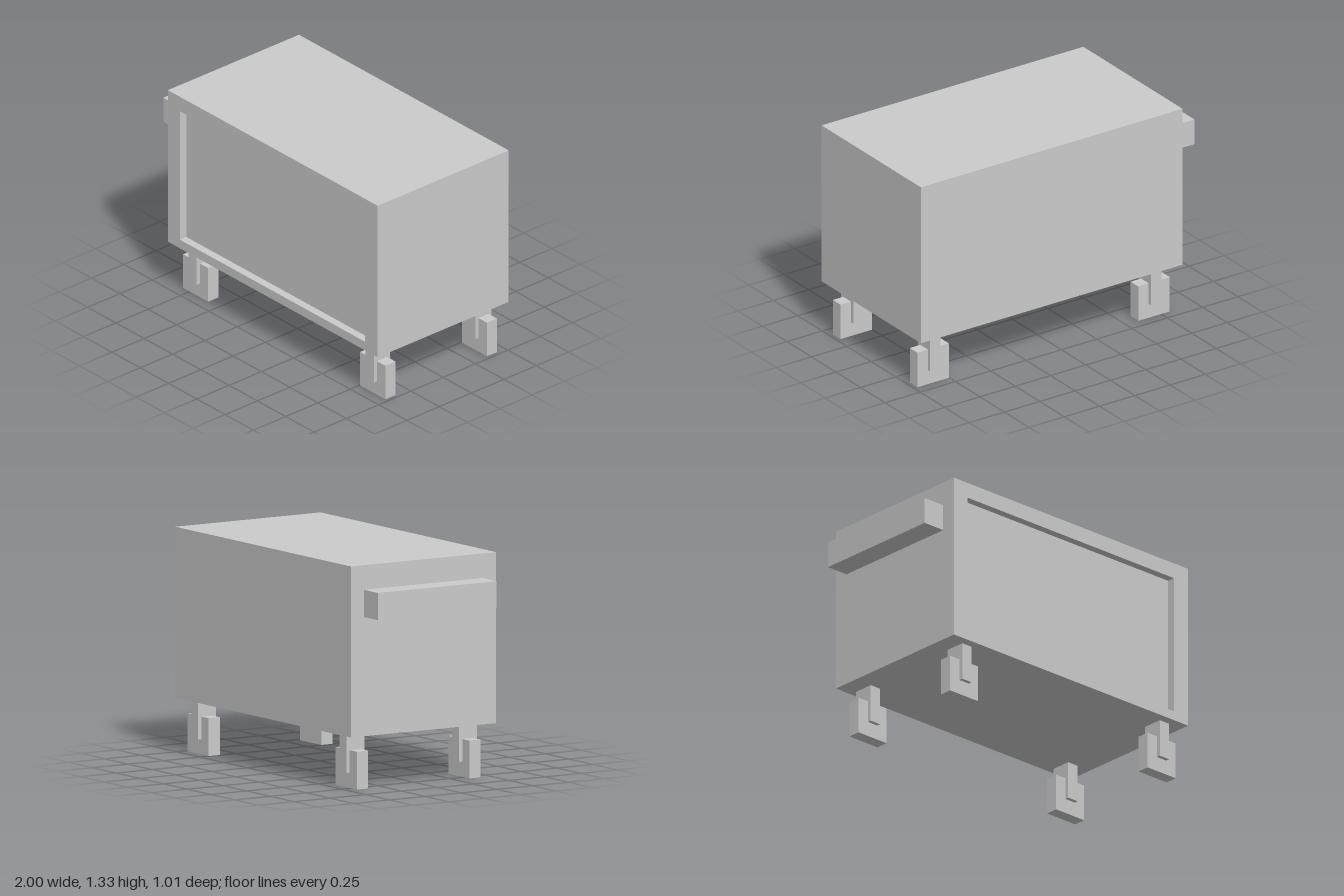
import * as THREE from 'three';

const material = new THREE.MeshStandardMaterial({ color: 0xcccccc, flatShading: true });

// Box given by its min and max along each axis
function box(name, [x0, x1], [y0, y1], [z0, z1]) {
  const mesh = new THREE.Mesh(new THREE.BoxGeometry(x1 - x0, y1 - y0, z1 - z0), material);
  mesh.position.set((x0 + x1) / 2, (y0 + y1) / 2, (z0 + z1) / 2);
  mesh.name = name;
  return mesh;
}

function rectangle(PathType, x0, x1, y0, y1) {
  return new PathType([[x0, y0], [x1, y0], [x1, y1], [x0, y1]].map(([x, y]) => new THREE.Vector2(x, y)));
}

// Square caster block held by a straight fork
function createCaster(name, x, z) {
  const caster = new THREE.Group();
  caster.name = name;
  caster.add(
    box('wheel', [-0.111, 0.111], [0, 0.223], [-0.039, 0.039]),
    box('fork', [-0.037, 0.037], [0.09, 0.32], [-0.063, 0.063]),
  );
  caster.position.set(x, 0, z);
  return caster;
}

export function createModel() {
  const model = new THREE.Group();
  model.name = 'cart';
  const left = 1, right = -0.853, bottom = 0.318, top = 1.325;
  const front = 0.507, recess = 0.05;

  // Closed cabinet, with a raised frame around the recessed front panel
  model.add(box('cabinet', [right, left], [bottom, top], [-front, front - recess]));
  const outline = rectangle(THREE.Shape, right, left, bottom, top);
  outline.holes.push(rectangle(THREE.Path, -0.747, 0.888, 0.375, 1.23));
  const frame = new THREE.Mesh(
    new THREE.ExtrudeGeometry(outline, { depth: recess, bevelEnabled: false }), material);
  frame.position.z = front - recess;
  frame.name = 'frontFrame';
  model.add(frame);

  // Push bar on the right end
  model.add(box('handle', [-1, right], [1.02, 1.18], [-0.416, 0.414]));

  // Four casters
  for (const [side, x] of [['Right', -0.699], ['Left', 0.865]]) {
    for (const [end, z] of [['front', 0.388], ['back', -0.398]]) {
      model.add(createCaster(`${end}${side}Caster`, x, z));
    }
  }
  return model;
}
